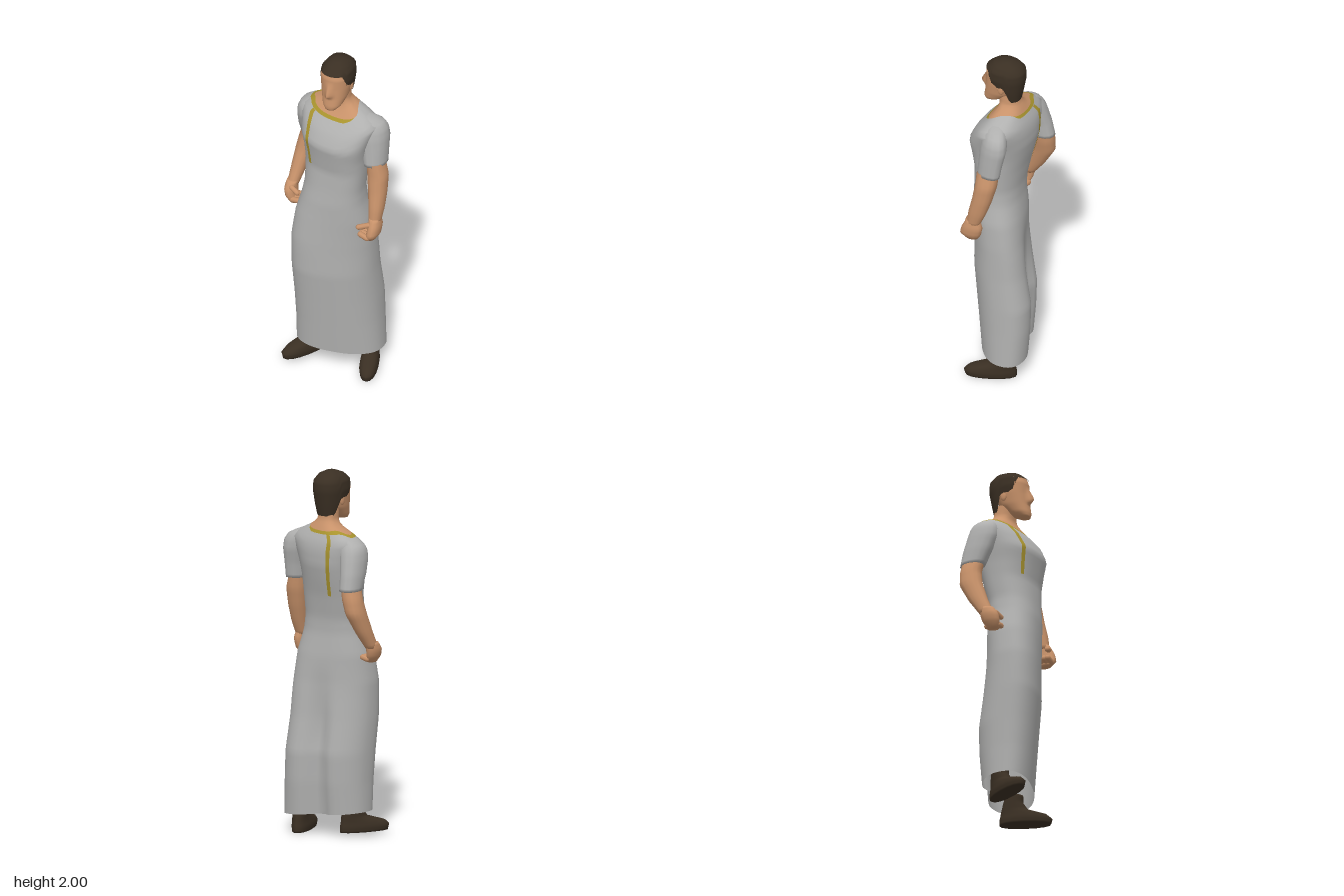
import * as THREE from 'three';

const mat = (name, color, side = THREE.FrontSide) => {
  const m = new THREE.MeshStandardMaterial({ color, side });
  m.name = name;
  return m;
};
const cloth = mat('grey cloth', 0xb0b0af, THREE.DoubleSide);
const skin = mat('skin', 0xc8926a);
const dark = mat('dark brown', 0x3a2f23);
const gold = mat('gold trim', 0xa8932e);

const { clamp, lerp, smoothstep } = THREE.MathUtils;
const TAU = Math.PI * 2;

// Surface through horizontal rings [y, xMin, xMax, zBack, zFront], listed upwards.
// Angle 0 is the left (+x), a quarter turn is the front (+z).
function surface(rings, power = 0.9, bend = (p) => p) {
  const soft = (v) => Math.sign(v) * Math.abs(v) ** power;
  return (a, y, off = 0) => {
    let i = 0;
    while (i < rings.length - 2 && y > rings[i + 1][0]) i++;
    const r = rings[i], s = rings[i + 1];
    const t = clamp((y - r[0]) / (s[0] - r[0]), 0, 1);
    const [, x0, x1, z0, z1] = r.map((v, k) => lerp(v, s[k], t));
    return bend(new THREE.Vector3(
      (x0 + x1) / 2 + ((x1 - x0) / 2 + off) * soft(Math.cos(a)), y + off,
      (z0 + z1) / 2 + ((z1 - z0) / 2 + off) * soft(Math.sin(a))), a);
  };
}

// Smooth skin over part of a surface, between two heights given per angle.
function patch(name, material, surf, low, high, o = {}) {
  const { rows = 16, cols = 24, a0 = 0, a1 = TAU, off = 0, bottom = false, top = false } = o;
  const closed = a1 - a0 > 6.28, n = closed ? cols : cols + 1;
  const pos = [], index = [];
  for (let j = 0; j <= rows; j++) {
    for (let i = 0; i < n; i++) {
      const a = lerp(a0, a1, i / cols);
      pos.push(...surf(a, lerp(low(a), high(a), j / rows), off).toArray());
    }
  }
  for (let j = 0; j < rows; j++) {
    for (let i = 0; i < cols; i++) {
      const p = j * n + i, q = j * n + (i + 1) % n;
      index.push(p, p + n, q, q, p + n, q + n);
    }
  }
  const cap = (row, up) => {
    const c = new THREE.Vector3(), id = pos.length / 3;
    for (let i = 0; i < n; i++) c.add(new THREE.Vector3().fromArray(pos, (row * n + i) * 3));
    pos.push(...c.divideScalar(n).toArray());
    for (let i = 0; i < n; i++) {
      const p = row * n + i, q = row * n + (i + 1) % n;
      index.push(...(up ? [p, id, q] : [q, id, p]));
    }
  };
  if (bottom) cap(0, false);
  if (top) cap(rows, true);
  const g = new THREE.BufferGeometry();
  g.setAttribute('position', new THREE.Float32BufferAttribute(pos, 3));
  g.setIndex(index);
  g.computeVertexNormals();
  const mesh = new THREE.Mesh(g, material);
  mesh.name = name;
  return mesh;
}

// Whole form from its rings, closed at both ends unless told otherwise
function loft(name, material, rings, o = {}) {
  return patch(name, material, surface(rings, 0.9, o.bend), () => rings[0][0], () => rings.at(-1)[0],
    { cols: 14, bottom: true, top: true, ...o });
}

// Rounded finger between two points
function finger(name, from, to, radius) {
  const a = new THREE.Vector3(...from), b = new THREE.Vector3(...to);
  const m = new THREE.Mesh(new THREE.CapsuleGeometry(radius, a.distanceTo(b), 3, 8), skin);
  m.position.copy(a).add(b).multiplyScalar(0.5);
  m.quaternion.setFromUnitVectors(new THREE.Vector3(0, 1, 0), b.sub(a).normalize());
  m.name = name;
  return m;
}

function shoe(name, x, y, z, yaw) {
  const m = loft(name, dark, [
    [0, -0.047, 0.047, -0.14, 0.14], [0.03, -0.052, 0.052, -0.14, 0.148],
    [0.055, -0.048, 0.048, -0.135, 0.12], [0.085, -0.042, 0.042, -0.13, 0.02],
    [0.13, -0.042, 0.042, -0.12, -0.01], [0.17, -0.042, 0.042, -0.11, -0.01]], { cols: 16 });
  m.position.set(x, y, z);
  m.rotation.y = yaw;
  return m;
}

export function createModel() {
  const model = new THREE.Group();
  model.name = 'robedMan';

  // Robe, chest and neck share one surface; the stance twists it along its height
  const body = surface([
    [0.08, -0.21, 0.245, -0.155, 0.125], [0.30, -0.21, 0.235, -0.175, 0.145],
    [0.46, -0.215, 0.23, -0.18, 0.16], [0.65, -0.22, 0.22, -0.15, 0.178],
    [0.85, -0.22, 0.215, -0.125, 0.175], [1.00, -0.205, 0.205, -0.115, 0.17],
    [1.12, -0.175, 0.18, -0.10, 0.165], [1.20, -0.165, 0.175, -0.10, 0.155],
    [1.33, -0.175, 0.185, -0.12, 0.142], [1.42, -0.185, 0.19, -0.14, 0.155],
    [1.50, -0.20, 0.205, -0.155, 0.168], [1.58, -0.215, 0.23, -0.155, 0.125],
    [1.63, -0.225, 0.245, -0.145, 0.08], [1.67, -0.17, 0.18, -0.125, 0.045],
    [1.71, -0.075, 0.095, -0.105, 0.02], [1.74, -0.052, 0.066, -0.088, 0.02],
    [1.80, -0.05, 0.06, -0.08, 0.03]], 0.85, (p, a) => {
    p.z += p.x * lerp(-0.24, 0.12, smoothstep(p.y, 0.75, 1.45));
    // Valley between the legs at the back
    if (Math.sin(a) < 0) p.z += 0.06 * Math.exp(-((p.x / 0.06) ** 2)) * (1 - smoothstep(p.y, 0.5, 1));
    return p;
  });
  const hem = (a) => 0.122 - 0.018 * Math.cos(a);
  // Neckline lowest at the front, drawn out to a point over the right shoulder
  const neckline = (a) => 1.683 + 0.0088 * Math.cos(a) - 0.018 * Math.cos(a - 1.3)
    + 0.014 * Math.cos(2 * a) - 0.02 * Math.exp(-(((a - Math.PI) / 0.35) ** 2));
  const collarBase = (a) => neckline(a) - 0.016 * clamp((0.65 - Math.cos(a)) * 2.5, 0, 1);
  model.add(
    patch('robe', cloth, body, hem, collarBase, { rows: 64, cols: 48 }),
    patch('collar', gold, body, collarBase, neckline, { rows: 2, cols: 48 }),
    patch('neck', skin, body, neckline, () => 1.8, { rows: 8, cols: 48 }),
    patch('frontStripe', gold, body, () => 1.34, collarBase, { rows: 24, cols: 3, a0: 2.05, a1: 2.18, off: 0.004 }),
    patch('backStripe', gold, body, () => 1.33, collarBase, { rows: 24, cols: 3, a0: 4.27, a1: 4.39, off: 0.004 }));

  // Left arm, hanging slightly forward, its outer side turned back
  model.add(
    loft('leftSleeve', cloth, [
      [1.385, 0.18, 0.29, -0.065, 0.07], [1.47, 0.165, 0.29, -0.08, 0.062],
      [1.55, 0.14, 0.289, -0.10, 0.055], [1.60, 0.12, 0.28, -0.10, 0.045],
      [1.64, 0.10, 0.255, -0.09, 0.03], [1.67, 0.09, 0.18, -0.07, 0.01]], {
      bend: (p) => { p.z -= 0.3 * (p.x - 0.22); return p; } }),
    loft('leftForearm', skin, [
      [1.05, 0.235, 0.30, 0.035, 0.11], [1.13, 0.225, 0.308, 0.0, 0.10], [1.22, 0.21, 0.31, -0.03, 0.08],
      [1.32, 0.195, 0.307, -0.055, 0.065], [1.40, 0.19, 0.282, -0.06, 0.062]], { top: false }),
    loft('leftPalm', skin, [
      [0.945, 0.225, 0.28, 0.05, 0.125], [0.98, 0.235, 0.303, 0.03, 0.15],
      [1.03, 0.24, 0.307, 0.02, 0.135], [1.075, 0.238, 0.298, 0.035, 0.11]], { rows: 8 }),
    finger('leftThumb', [0.25, 1.04, 0.115], [0.198, 1.02, 0.13], 0.015));

  // Right arm, elbow drawn back
  model.add(
    loft('rightSleeve', cloth, [
      [1.385, -0.27, -0.165, -0.19, -0.05], [1.47, -0.27, -0.155, -0.175, -0.01],
      [1.55, -0.264, -0.135, -0.155, 0.02], [1.60, -0.255, -0.12, -0.14, 0.02],
      [1.63, -0.235, -0.11, -0.125, 0.008], [1.66, -0.185, -0.1, -0.11, -0.01]]),
    loft('rightForearm', skin, [
      [1.06, -0.305, -0.245, -0.05, 0.03], [1.15, -0.305, -0.225, -0.115, -0.01],
      [1.26, -0.30, -0.20, -0.178, -0.05], [1.34, -0.285, -0.18, -0.183, -0.065],
      [1.40, -0.264, -0.172, -0.178, -0.055]], { top: false }),
    loft('rightPalm', skin, [
      [0.975, -0.275, -0.225, -0.01, 0.05], [1.01, -0.30, -0.24, -0.035, 0.062],
      [1.05, -0.31, -0.245, -0.045, 0.058], [1.09, -0.305, -0.245, -0.05, 0.03]], { rows: 8 }),
    finger('rightThumb', [-0.26, 1.065, 0.035], [-0.22, 1.05, 0.048], 0.015));

  // Curled fingers on both hands
  for (let i = 0; i < 4; i++) {
    model.add(
      finger('leftFinger', [0.25, 0.965, 0.06 + i * 0.024], [0.208, 0.975, 0.062 + i * 0.022], 0.016),
      finger('rightFinger', [-0.25, 0.995, -0.02 + i * 0.022], [-0.218, 1.0, -0.016 + i * 0.021], 0.016));
  }

  // Head, with the nose drawn out of the middle of the face
  const noseRidge = (p, a) => {
    if (Math.sin(a) > 0) {
      p.z += 0.032 * Math.exp(-(((p.x - 0.007) / 0.016) ** 2))
        * smoothstep(p.y, 1.795, 1.825) * (1 - smoothstep(p.y, 1.825, 1.915));
    }
    return p;
  };
  model.add(loft('head', skin, [
    [1.728, -0.025, 0.038, 0.055, 0.115], [1.75, -0.045, 0.06, 0.01, 0.118],
    [1.80, -0.063, 0.078, -0.05, 0.11], [1.86, -0.075, 0.088, -0.08, 0.105],
    [1.92, -0.08, 0.091, -0.09, 0.105], [1.955, -0.072, 0.082, -0.085, 0.093]],
  { cols: 40, rows: 26, top: false, bend: noseRidge }));
  for (const s of [-1, 1]) {
    const ear = new THREE.Mesh(new THREE.SphereGeometry(1, 8, 6), skin);
    ear.name = s > 0 ? 'leftEar' : 'rightEar';
    ear.scale.set(0.009, 0.03, 0.018);
    ear.position.set(0.007 + s * 0.076, 1.845, -0.005);
    model.add(ear);
  }

  // Short hair: high on the brow, sideburns, low at the nape
  const hair = surface([
    [1.75, -0.05, 0.062, -0.088, 0.03], [1.82, -0.07, 0.083, -0.102, 0.085],
    [1.90, -0.084, 0.095, -0.116, 0.112], [1.95, -0.08, 0.091, -0.112, 0.104],
    [1.983, -0.056, 0.067, -0.078, 0.065], [2.0, -0.018, 0.03, -0.035, 0.02]]);
  const hairline = (a) => {
    const f = Math.sin(a);
    return 1.76 + 0.1 * smoothstep(f, -0.4, -0.1) + 0.085 * smoothstep(f, 0.4, 0.7);
  };
  model.add(patch('hair', dark, hair, hairline, () => 2, { rows: 14, cols: 40, top: true }));

  // Shoes, both turned out, the right one more so
  model.add(shoe('leftShoe', 0.197, 0, 0.0, 0.34), shoe('rightShoe', -0.165, 0.025, 0.06, -0.5));
  return model;
}
